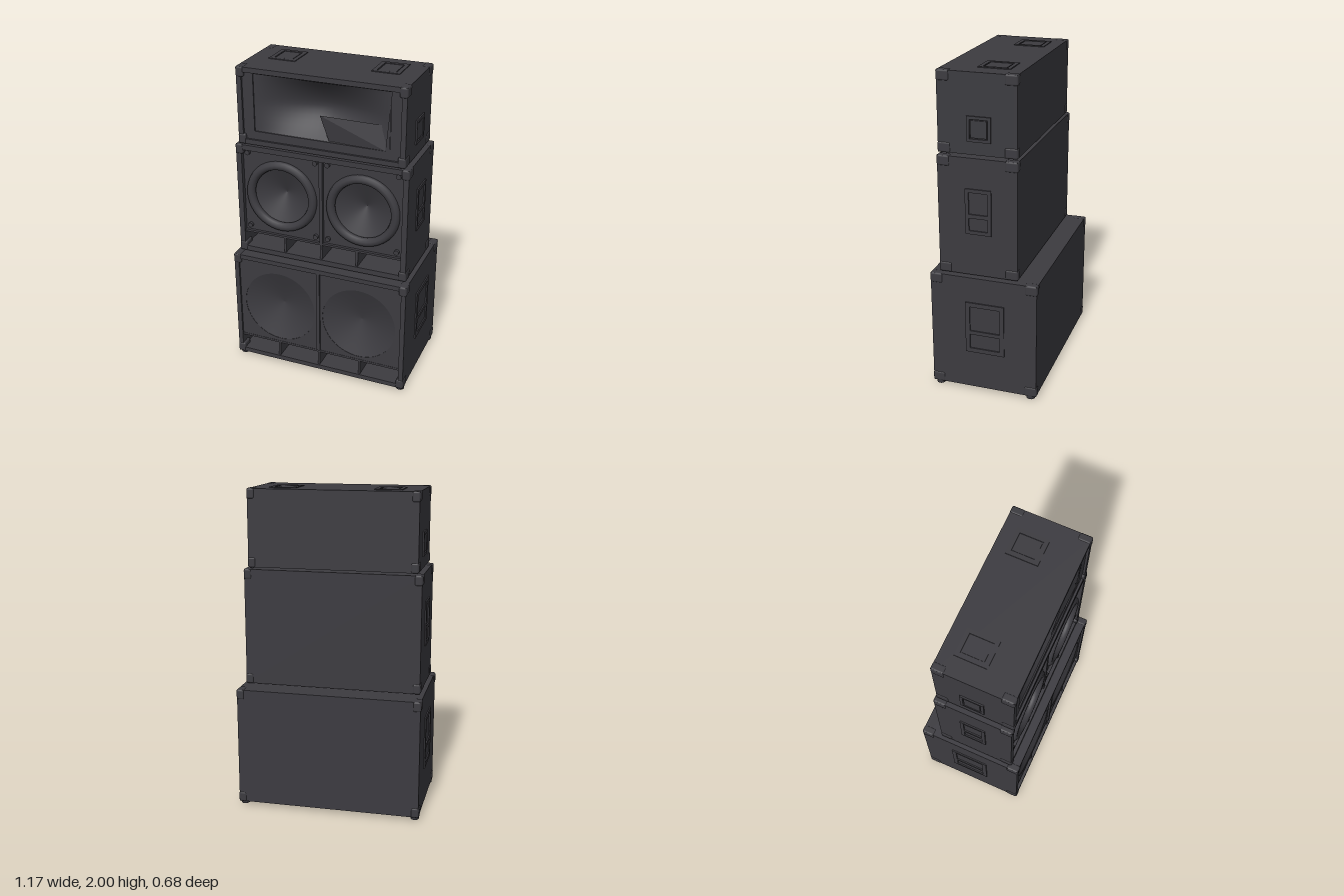
import * as THREE from 'three';
import { RoundedBoxGeometry } from 'three/addons/geometries/RoundedBoxGeometry.js';

const black = new THREE.MeshStandardMaterial({ color: 0x3c3b40, side: THREE.DoubleSide });
black.name = 'charcoal';

function add(parent, name, geometry, x = 0, y = 0, z = 0) {
  const mesh = new THREE.Mesh(geometry, black);
  mesh.name = name;
  mesh.position.set(x, y, z);
  parent.add(mesh);
  return mesh;
}
const box = (w, h, d) => new THREE.BoxGeometry(w, h, d);

function rectPath(Type, x0, y0, x1, y1) {
  const p = new Type();
  p.moveTo(x0, y0);
  p.lineTo(x1, y0);
  p.lineTo(x1, y1);
  p.lineTo(x0, y1);
  p.closePath();
  return p;
}

// Flat plate with holes, its front at z = 0
function plate(x0, y0, x1, y1, holes, depth) {
  const shape = rectPath(THREE.Shape, x0, y0, x1, y1);
  shape.holes.push(...holes);
  return new THREE.ExtrudeGeometry(shape, { depth, bevelEnabled: false, curveSegments: 32 })
    .translate(0, 0, -depth);
}

function circleHole(x, y, r) {
  const p = new THREE.Path();
  p.absarc(x, y, r, 0, Math.PI * 2, true);
  return p;
}

// Cabinet shell open at the front, with corner protectors
function cabinet(name, { w, y0, y1, z0, z1, lip }) {
  const g = new THREE.Group();
  g.name = name;
  add(g, 'shell', plate(-w, y0, w, y1,
    [rectPath(THREE.Path, -w + lip, y0 + lip, w - lip, y1 - lip)], z1 - z0 - 0.02), 0, 0, z1);
  add(g, 'backPanel', box(w * 2, y1 - y0, 0.02), 0, (y0 + y1) / 2, z0 + 0.01);
  const size = [0.05, 0.065, 0.08], out = 0.004;
  for (const sx of [-1, 1]) for (const y of [y0, y1]) for (const z of [z0, z1]) {
    const sy = y === y0 ? 1 : -1, sz = z === z0 ? 1 : -1;
    add(g, 'cornerProtector', new RoundedBoxGeometry(...size, 2, 0.012),
      sx * (w + out - size[0] / 2), y + sy * (size[1] / 2 - 0.003), z + sz * (size[2] / 2 - out));
  }
  return g;
}

// Raised handle frame in the xy plane facing +z, with open or filled cups
function handle(w, h, inset, split) {
  const g = new THREE.Group();
  g.name = 'handle';
  const x = w / 2 - inset, y = h / 2 - inset;
  const mid = -h * 0.1;
  const holes = split
    ? [rectPath(THREE.Path, -x, -y, x, mid - 0.012), rectPath(THREE.Path, -x, mid + 0.012, x, y)]
    : [rectPath(THREE.Path, -x, -y, x, y)];
  add(g, 'handleFrame', plate(-w / 2, -h / 2, w / 2, h / 2, holes, 0.012), 0, 0, 0.008);
  if (!split) add(g, 'handleCup', box(x * 2 - 0.012, y * 2 - 0.012, 0.008), 0, 0, 0.002);
  return g;
}

function sideHandles(parent, x, y, z, w, h, inset, split) {
  for (const s of [-1, 1]) {
    const grip = handle(w, h, inset, split);
    grip.rotation.y = s * Math.PI / 2;
    grip.position.set(s * x, y, z);
    parent.add(grip);
  }
}

// Concave disc opening toward +z
function cone(r, depth, power) {
  const points = [];
  for (let i = 0; i <= 8; i++) {
    const t = i / 8;
    points.push(new THREE.Vector2(r * t, -depth * (1 - Math.pow(t, power))));
  }
  return new THREE.LatheGeometry(points, 40).rotateX(Math.PI / 2);
}

// Row of open ports below the baffle, split by fins
function ports(parent, w, y0, y1, z, fins) {
  const h = y1 - y0, d = 0.2;
  add(parent, 'portBack', box(w * 2, h, 0.01), 0, y0 + h / 2, z - d);
  add(parent, 'portShelf', box(w * 2, 0.014, d), 0, y1, z - d / 2);
  for (const x of fins) add(parent, 'portFin', box(0.014, h, d), x, y0 + h / 2, z - d / 2);
}

function bottomCabinet() {
  const g = cabinet('bottomCabinet', { w: 0.576, y0: 0.022, y1: 0.765, z0: -0.334, z1: 0.333, lip: 0.03 });
  const front = 0.32;
  add(g, 'baffle', plate(-0.546, 0.155, 0.546, 0.736,
    [-0.27, 0.27].map(x => circleHole(x, 0.426, 0.243)), 0.02), 0, 0, front);
  for (const x of [-0.27, 0.27]) add(g, 'speakerCone', cone(0.244, 0.07, 1.2), x, 0.426, front - 0.002);
  add(g, 'divider', box(0.022, 0.57, 0.02), 0, 0.45, front + 0.002);
  ports(g, 0.546, 0.05, 0.155, 0.322, [-0.28, 0, 0.28]);
  sideHandles(g, 0.576, 0.435, -0.01, 0.245, 0.335, 0.028, true);
  for (const x of [-0.55, 0.55]) for (const z of [-0.295, 0.295])
    add(g, 'foot', new THREE.CylinderGeometry(0.03, 0.026, 0.03, 16), x, 0.015, z);
  return g;
}

function middleCabinet() {
  const g = cabinet('middleCabinet', { w: 0.552, y0: 0.777, y1: 1.505, z0: -0.208, z1: 0.279, lip: 0.034 });
  const front = 0.25;
  add(g, 'baffle', plate(-0.52, 0.918, 0.52, 1.472,
    [-0.265, 0.265].map(x => circleHole(x, 1.188, 0.205)), 0.02), 0, 0, front);
  for (const s of [-1, 1]) {
    const x = s * 0.265;
    add(g, 'speakerCone', cone(0.2, 0.08, 1), x, 1.188, front);
    add(g, 'speakerSurround', new THREE.TorusGeometry(0.206, 0.028, 10, 40), x, 1.188, front + 0.004);
    for (const sx of [0.04, 0.485]) for (const y of [0.955, 1.45])
      add(g, 'bolt', new THREE.CylinderGeometry(0.016, 0.016, 0.02, 12).rotateX(Math.PI / 2),
        s * sx, y, front + 0.008);
  }
  add(g, 'divider', box(0.022, 0.55, 0.022), 0, 1.195, front + 0.01);
  ports(g, 0.518, 0.81, 0.915, 0.268, [-0.245, 0, 0.235]);
  sideHandles(g, 0.552, 1.18, 0.03, 0.16, 0.28, 0.022, true);
  return g;
}

function topCabinet() {
  const g = cabinet('topCabinet', { w: 0.526, y0: 1.517, y1: 1.995, z0: -0.198, z1: 0.281, lip: 0.031 });
  const front = 0.267, x0 = -0.425, x1 = 0.43, y0 = 1.6, y1 = 1.957;
  add(g, 'baffle', plate(-0.497, 1.545, 0.497, 1.967,
    [rectPath(THREE.Path, x0, y0, x1, y1)], 0.02), 0, 0, front);

  // Smooth hollow horn mouth
  const horn = new THREE.PlaneGeometry(x1 - x0, y1 - y0, 20, 12);
  const p = horn.attributes.position;
  for (let i = 0; i < p.count; i++) {
    const u = Math.abs(2 * p.getX(i) / (x1 - x0)), v = Math.abs(2 * p.getY(i) / (y1 - y0));
    p.setZ(i, -0.11 * (1 - u ** 1.5) * (1 - v ** 1.5));
  }
  horn.computeVertexNormals();
  add(g, 'hornMouth', horn, (x0 + x1) / 2, (y0 + y1) / 2, front - 0.008);

  // Angled flare panel in the lower corner and the thin fin beside it
  const flare = new THREE.BufferGeometry();
  flare.setAttribute('position', new THREE.Float32BufferAttribute([
    0, 1.76, 0.27, 0.05, 1.6, 0.255, 0.4, 1.6, 0.265,
    0, 1.76, 0.27, 0.4, 1.6, 0.265, 0.395, 1.742, 0.235,
    0.425, 1.88, 0.265, 0.4, 1.6, 0.265, 0.43, 1.6, 0.27], 3));
  flare.computeVertexNormals();
  add(g, 'hornFlare', flare);

  sideHandles(g, 0.527, 1.67, 0.03, 0.145, 0.15, 0.018, false);
  for (const x of [-0.325, 0.325]) {
    const grip = handle(0.17, 0.195, 0.025, false);
    grip.rotation.x = -Math.PI / 2;
    grip.position.set(x, 1.992, -0.022);
    g.add(grip);
  }
  return g;
}

export function createModel() {
  const model = new THREE.Group();
  model.name = 'speakerStack';
  model.add(bottomCabinet(), middleCabinet(), topCabinet());
  return model;
}
